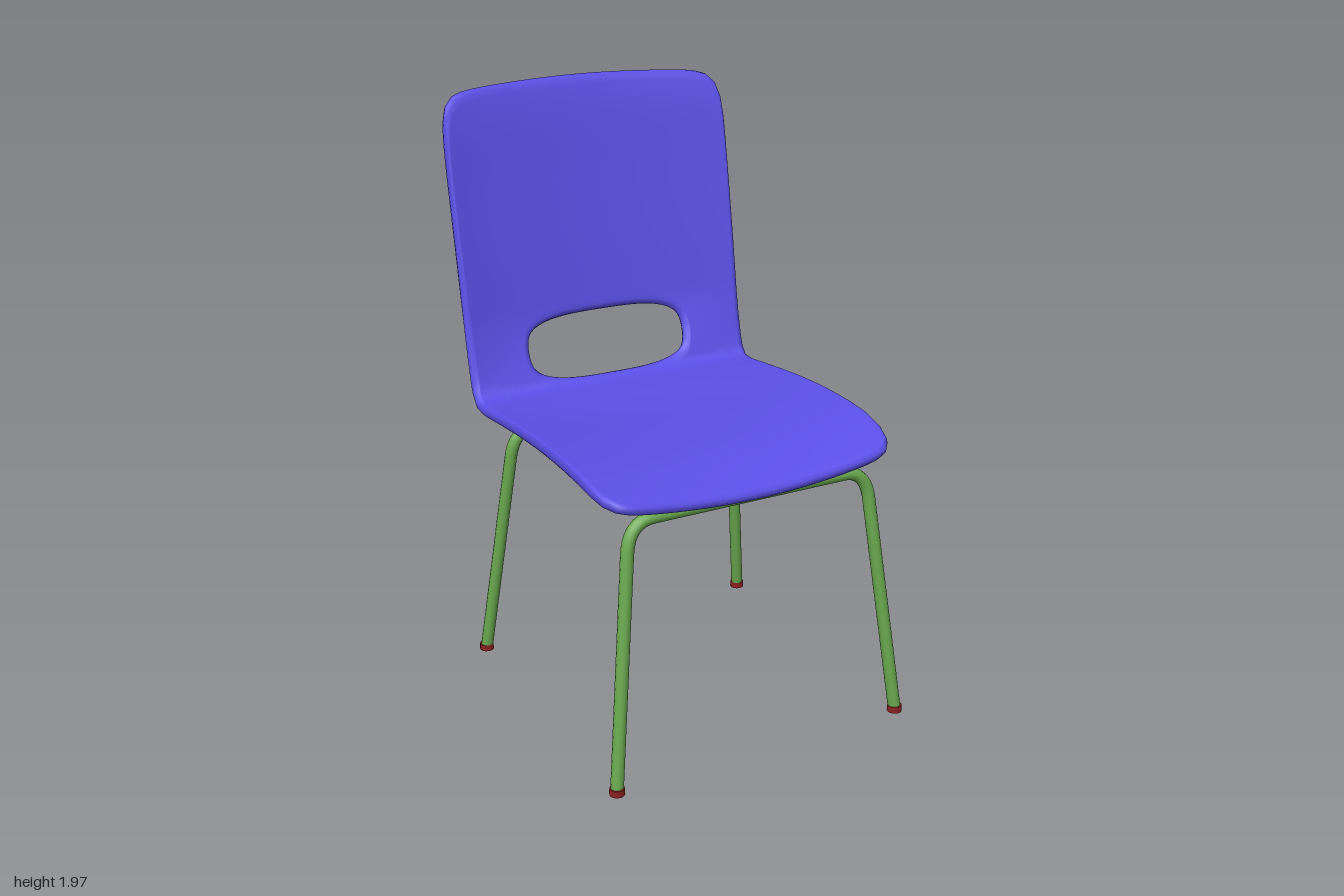
import * as THREE from 'three';

const paint = (color) => new THREE.MeshStandardMaterial({ color });
const V = (x, y, z) => new THREE.Vector3(x, y, z);

// Side profile of the shell as (z, y), from the front lip of the seat to the top of the back
const profile = new THREE.SplineCurve([
  [0.625, 0.91], [0.55, 0.937], [0.4, 0.97], [0.2, 0.978], [0, 0.97], [-0.2, 0.95],
  [-0.33, 0.937], [-0.385, 0.95], [-0.41, 1.0], [-0.445, 1.15], [-0.49, 1.4],
  [-0.537, 1.65], [-0.577, 1.86], [-0.612, 1.985],
].map(([z, y]) => new THREE.Vector2(z, y)));
profile.arcLengthDivisions = 600;

const HALF_W = 0.53, HALF_T = 0.02, HOLE_S = 1.155;

// Point on the shell: x across, s along the profile, h above the middle of the sheet
function shellPoint(x, s, h, length) {
  const t = THREE.MathUtils.clamp(s / length, 0, 1);
  const p = profile.getPointAt(t), d = profile.getTangentAt(t);
  // the sheet is dished across its width, except at the bend
  const seat = 1 - THREE.MathUtils.smoothstep(s, 0.6, 1.0);
  const back = THREE.MathUtils.smoothstep(s, 1.02, 1.3);
  const dish = (0.035 * seat + 0.045 * back) * (1 - (x / HALF_W) ** 2);
  const off = h - dish;
  return [x, p.y - d.x * off, p.x + d.y * off];
}

// Radius of a rounded unit square in direction a
const squircle = (a, n) =>
  (Math.abs(Math.cos(a)) ** n + Math.abs(Math.sin(a)) ** n) ** (-1 / n);

// One closed sheet: rays run from the hole to the outline, over the top and back underneath
function shellGeometry() {
  const N = 144, M = 40, length = profile.getLength();
  const pos = [], idx = [];
  const rings = 2 * (M + 4);
  for (let i = 0; i < N; i++) {
    const a = (i / N) * Math.PI * 2, c = Math.cos(a), sn = Math.sin(a);
    const ri = squircle(a, 3.2), ro = squircle(a, 16);
    const hx = 0.3 * ri * c, hs = HOLE_S + 0.11 * ri * sn;
    const ox = HALF_W * ro * c;
    const reach = sn > 0 ? length - HOLE_S : HOLE_S;
    const os = HOLE_S + (reach - 0.035 * (ox / HALF_W) ** 2) * ro * sn;
    const L = Math.hypot(ox - hx, os - hs);
    // distance along the ray and height, with rounded rims
    const top = [[0, 0], [0.006, 0.7]];
    for (let j = 0; j <= M; j++) top.push([0.02 + (L - 0.04) * j / M, 1]);
    top.push([L - 0.006, 0.7], [L, 0]);
    const under = top.slice(1, -1).reverse().map(([d, h]) => [d, -h]);
    for (const [d, h] of [...top, ...under]) {
      const f = d / L;
      pos.push(...shellPoint(hx + (ox - hx) * f, hs + (os - hs) * f, h * HALF_T, length));
    }
  }
  for (let i = 0; i < N; i++) {
    for (let j = 0; j < rings; j++) {
      const i2 = (i + 1) % N, j2 = (j + 1) % rings;
      const p = i * rings + j, q = i * rings + j2, r = i2 * rings + j2, s = i2 * rings + j;
      idx.push(p, q, r, p, r, s);
    }
  }
  const g = new THREE.BufferGeometry();
  g.setAttribute('position', new THREE.Float32BufferAttribute(pos, 3));
  g.setIndex(idx);
  g.computeVertexNormals();
  return g;
}

// Two splayed legs and their cross bar, bent from a single tube
function legPath(topZ, footZ) {
  const H = 0.86;
  const at = (x, y) => V(x, y, topZ + (footZ - topZ) * (1 - y / H));
  const path = new THREE.CurvePath();
  path.add(new THREE.LineCurve3(at(-0.52, 0.01), at(-0.436, 0.76)));
  path.add(new THREE.QuadraticBezierCurve3(at(-0.436, 0.76), at(-0.425, H), at(-0.34, H)));
  path.add(new THREE.LineCurve3(at(-0.34, H), at(0.34, H)));
  path.add(new THREE.QuadraticBezierCurve3(at(0.34, H), at(0.425, H), at(0.436, 0.76)));
  path.add(new THREE.LineCurve3(at(0.436, 0.76), at(0.52, 0.01)));
  return path;
}

export function createModel() {
  const chair = new THREE.Group();
  chair.name = 'chair';
  const blue = paint(0x5b50e8), green = paint(0x6aa84f), red = paint(0x8b2020);
  const add = (name, geometry, material, x = 0, y = 0, z = 0) => {
    const m = new THREE.Mesh(geometry, material);
    m.name = name;
    m.position.set(x, y, z);
    chair.add(m);
    return m;
  };

  add('seatShell', shellGeometry(), blue);

  // Leg frames and foot caps
  for (const [name, topZ, footZ] of [['front', 0.55, 0.645], ['rear', -0.3, -0.395]]) {
    add(name + 'Legs', new THREE.TubeGeometry(legPath(topZ, footZ), 120, 0.021, 12), green);
    for (const side of [1, -1]) {
      add(name + (side > 0 ? 'LeftFoot' : 'RightFoot'),
        new THREE.CylinderGeometry(0.024, 0.025, 0.022, 12), red, side * 0.52, 0.011, footZ);
    }
  }

  // Side rails with the pegs that carry the shell
  for (const side of [1, -1]) {
    const label = side > 0 ? 'left' : 'right';
    add(label + 'Rail', new THREE.CylinderGeometry(0.013, 0.013, 0.85, 12), green,
      side * 0.32, 0.857, 0.125).rotation.x = Math.PI / 2;
    for (const [end, z] of [['Front', 0.45], ['Rear', -0.195]]) {
      add(label + end + 'Peg', new THREE.CylinderGeometry(0.012, 0.012, 0.08, 10), green,
        side * 0.32, 0.895, z);
    }
  }
  return chair;
}
